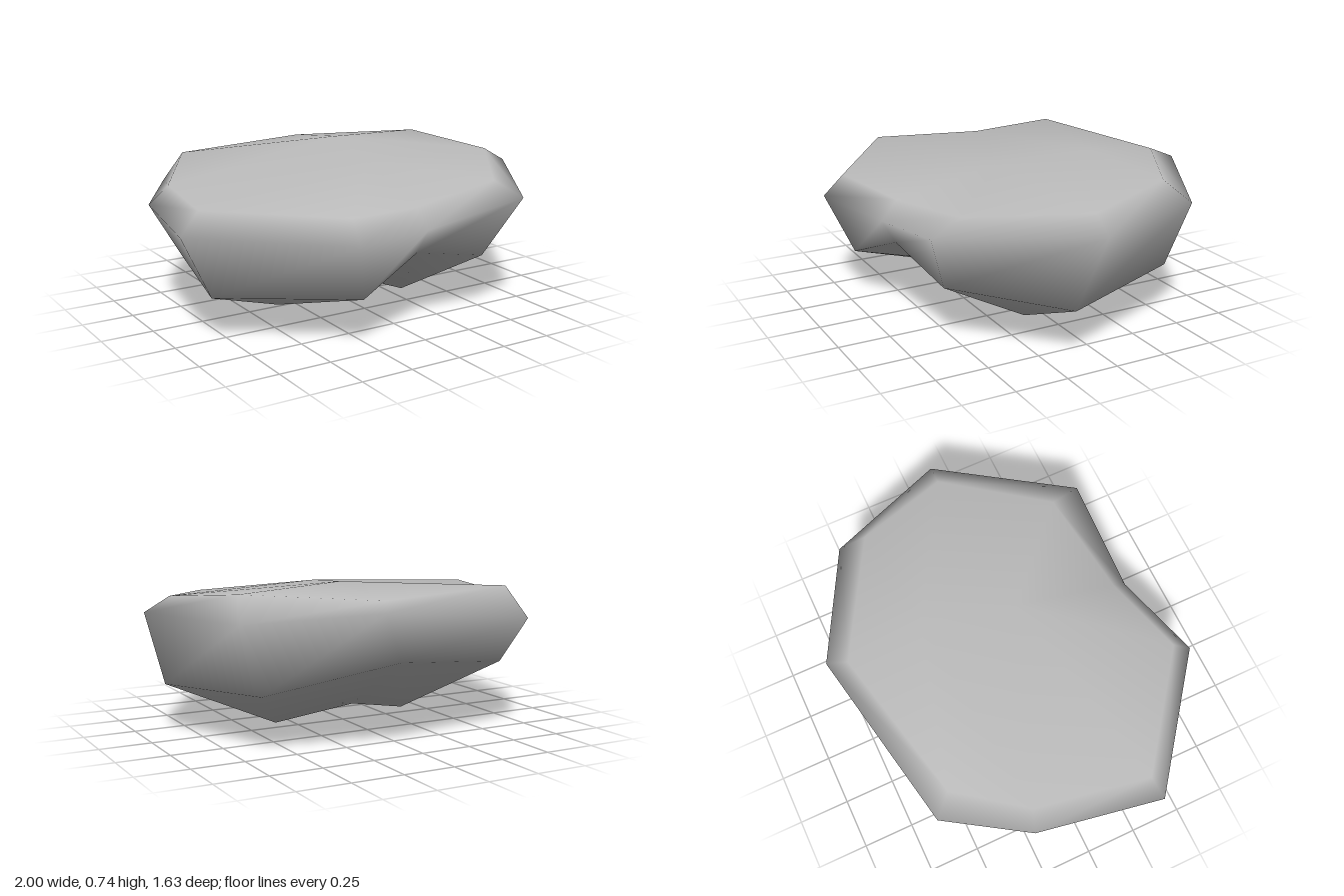
import * as THREE from 'three';

// Cross-sections of the stone, nine corners each, clockwise seen from above
const topRim = [
  [-0.58, 0.70, -0.55], [0.18, 0.69, -0.72], [0.73, 0.715, -0.40],
  [0.88, 0.67, 0.05], [0.55, 0.63, 0.53], [0.04, 0.58, 0.61],
  [-0.37, 0.61, 0.72], [-0.90, 0.63, 0.32], [-0.80, 0.62, -0.23],
];
const waist = [
  [-0.65, 0.55, -0.64], [0.23, 0.65, -0.815], [0.78, 0.60, -0.53],
  [1.00, 0.60, 0.06], [0.60, 0.57, 0.69], [0.05, 0.49, 0.69],
  [-0.39, 0.51, 0.815], [-1.00, 0.53, 0.35], [-0.89, 0.53, -0.26],
];
const underside = [
  [-0.55, 0.34, -0.56], [0.09, 0.41, -0.71], [0.66, 0.27, -0.48],
  [0.88, 0.24, 0.14], [0.46, 0.28, 0.57], [0.04, 0.37, 0.62],
  [-0.30, 0.23, 0.70], [-0.83, 0.21, 0.28], [-0.77, 0.29, -0.18],
];
// Inner points of the caps, and the one each rim corner fans towards
const topHubs = [[0.10, 0.70, 0.11], [0.20, 0.74, -0.34]];
const bottomHubs = [[-0.36, 0.02, 0.03], [0.0, 0.10, -0.10], [0.33, 0.0, 0.09]];
const topFan = [1, 1, 1, 0, 0, 0, 0, 0, 1];
const bottomFan = [0, 1, 2, 2, 2, 1, 0, 0, 0];

function stoneGeometry() {
  const rings = [topRim, waist, underside];
  const n = topRim.length;
  const points = [...rings.flat(), ...topHubs, ...bottomHubs];
  const index = [];

  // Sides
  for (let r = 0; r < rings.length - 1; r++) {
    for (let i = 0; i < n; i++) {
      const j = (i + 1) % n;
      const a = r * n + i, b = r * n + j;
      index.push(a, b, b + n, a, b + n, a + n);
    }
  }

  // Caps
  const cap = (ring, hubStart, fan, up) => {
    const face = (a, b, c) => index.push(...(up ? [a, b, c] : [b, a, c]));
    for (let i = 0; i < n; i++) {
      const j = (i + 1) % n;
      const hubA = hubStart + fan[i], hubB = hubStart + fan[j];
      face(ring + j, ring + i, hubA);
      if (hubA !== hubB) face(ring + j, hubA, hubB);
    }
  };
  cap(0, 3 * n, topFan, true);
  cap(2 * n, 3 * n + topHubs.length, bottomFan, false);

  const geometry = new THREE.BufferGeometry();
  geometry.setAttribute('position', new THREE.Float32BufferAttribute(points.flat(), 3));
  geometry.setIndex(index);
  geometry.computeVertexNormals();
  return geometry;
}

export function createModel() {
  const stoneGrey = new THREE.MeshStandardMaterial({ color: 0xbcbcbc });
  stoneGrey.name = 'stone grey';

  const stone = new THREE.Mesh(stoneGeometry(), stoneGrey);
  stone.name = 'stone';

  const group = new THREE.Group();
  group.name = 'rock';
  group.add(stone);
  return group;
}
